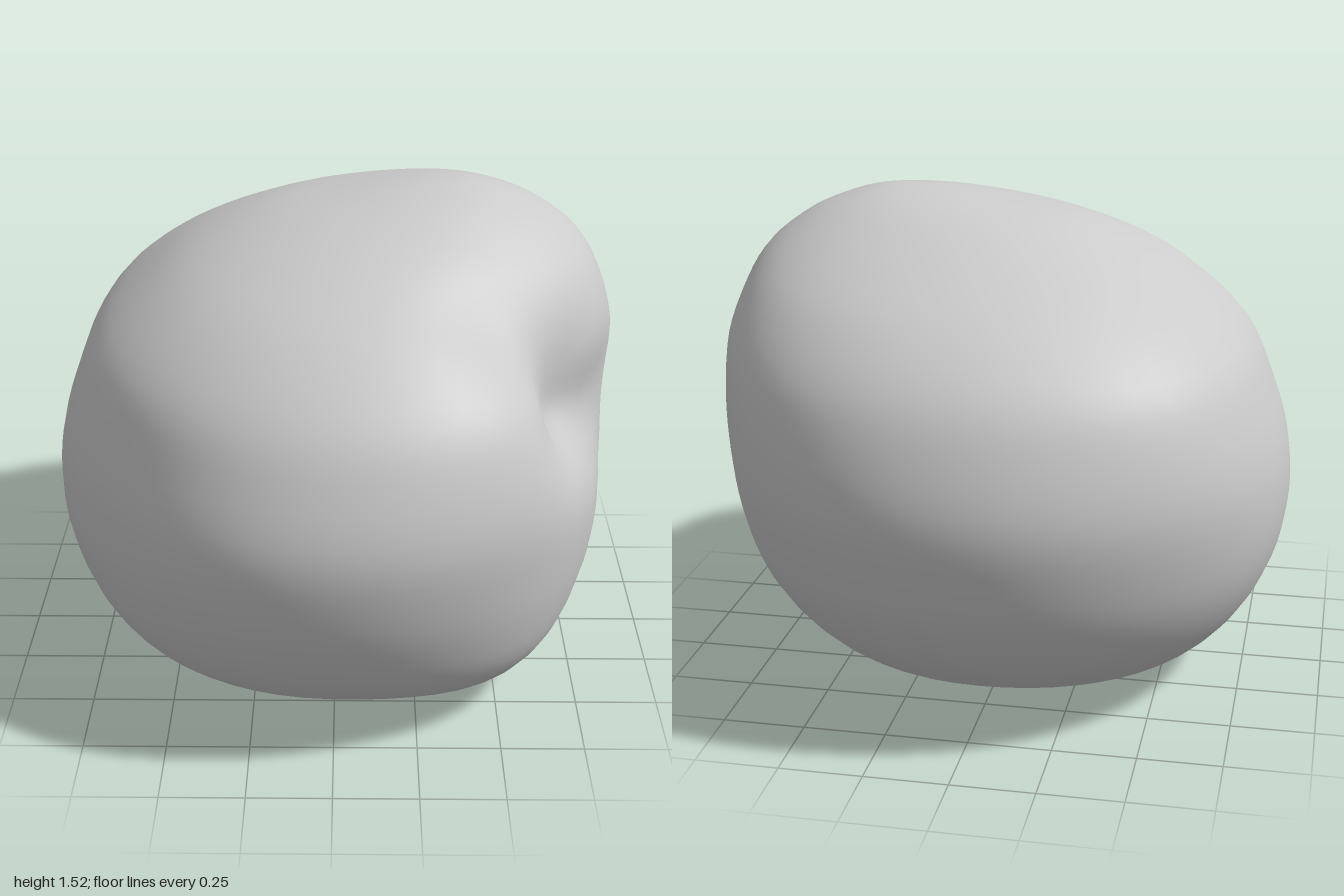
import * as THREE from 'three';
import { mergeVertices } from 'three/addons/utils/BufferGeometryUtils.js';

// Level outlines, bottom to top: y, xMin, xMax, zMin, zMax
const LEVELS = [
  [0.0, 0, 0, 0, 0],
  [0.005, -0.3, 0.3, -0.16, 0.16],
  [0.03, -0.48, 0.49, -0.37, 0.37],
  [0.12, -0.64, 0.63, -0.6, 0.65],
  [0.25, -0.76, 0.745, -0.78, 0.82],
  [0.41, -0.84, 0.81, -0.905, 0.92],
  [0.58, -0.875, 0.84, -0.97, 0.98],
  [0.76, -0.865, 0.86, -1, 1],
  [0.94, -0.81, 0.875, -0.965, 0.95],
  [1.1, -0.735, 0.87, -0.89, 0.86],
  [1.25, -0.58, 0.82, -0.74, 0.69],
  [1.36, -0.42, 0.75, -0.56, 0.48],
  [1.45, -0.2, 0.63, -0.38, 0.27],
  [1.5, 0.05, 0.51, -0.25, 0.14],
  [1.525, 0.22, 0.41, -0.13, 0.01],
  [1.53, 0.32, 0.32, -0.06, -0.06],
];

// Soft dents (depth > 0) and bulges (depth < 0): x, y, z, depth, radius
const LUMPS = [
  // groove between the front bulge and the upper lobe
  [0.44, 1.22, 0.5, 0.05, 0.16],
  [0.72, 1.0, 0.44, 0.13, 0.19],
  [0.86, 0.9, 0.2, 0.08, 0.2],
  [0.68, 1.17, 0.42, 0.1, 0.3],
  // uneven corners
  [-0.65, 0.7, 0.68, 0.05, 0.42],
  [-0.62, 1.05, -0.65, -0.06, 0.36],
  [0.66, 0.7, -0.68, -0.025, 0.4],
  [0.5, 0.15, 0.55, -0.04, 0.3],
  [0.6, 0.22, -0.45, 0.03, 0.3],
  // hollow underneath
  [0, 0, 0, -0.0 + 0.02, 0.25],
];

const spline = (a, b) => new THREE.CatmullRomCurve3(
  LEVELS.map((l) => new THREE.Vector3(l[0], l[a], l[b])), false, 'catmullrom', 0.5);

// Rounded cross-section, slightly fuller than an ellipse
const full = (c) => Math.sign(c) * Math.abs(c) ** (2 / 2.1);

function stoneGeometry(segments = 56, rows = 60) {
  const xCurve = spline(1, 2);
  const zCurve = spline(3, 4);
  const centre = new THREE.Vector3(0, 0.7, 0);
  const geometry = new THREE.SphereGeometry(1, segments, rows);
  const pos = geometry.attributes.position;
  const p = new THREE.Vector3();

  for (let i = 0; i < pos.count; i++) {
    const t = 1 - Math.floor(i / (segments + 1)) / rows;
    const angle = Math.atan2(pos.getZ(i), pos.getX(i));
    const xs = xCurve.getPoint(t);
    const zs = zCurve.getPoint(t);
    p.set(
      (xs.y + xs.z) / 2 + (xs.z - xs.y) / 2 * full(Math.cos(angle)),
      xs.x,
      (zs.y + zs.z) / 2 + (zs.z - zs.y) / 2 * full(Math.sin(angle)));

    // Press dents in towards the middle and push bulges out
    let depth = 0;
    for (const [x, y, z, d, r] of LUMPS) {
      const q = p.distanceTo(new THREE.Vector3(x, y, z)) / r;
      depth += d * Math.exp(-q * q);
    }
    p.addScaledVector(centre.clone().sub(p).normalize(), depth);
    pos.setXYZ(i, p.x, Math.max(0, p.y), p.z);
  }

  // Weld the seam so the shading is smooth all round
  geometry.deleteAttribute('uv');
  geometry.deleteAttribute('normal');
  const welded = mergeVertices(geometry, 1e-4);
  welded.computeVertexNormals();
  return welded;
}

export function createModel() {
  const group = new THREE.Group();
  group.name = 'roundedStone';
  const stone = new THREE.Mesh(
    stoneGeometry(), new THREE.MeshStandardMaterial({ color: 0xcccccc }));
  stone.name = 'stone';
  group.add(stone);
  return group;
}
